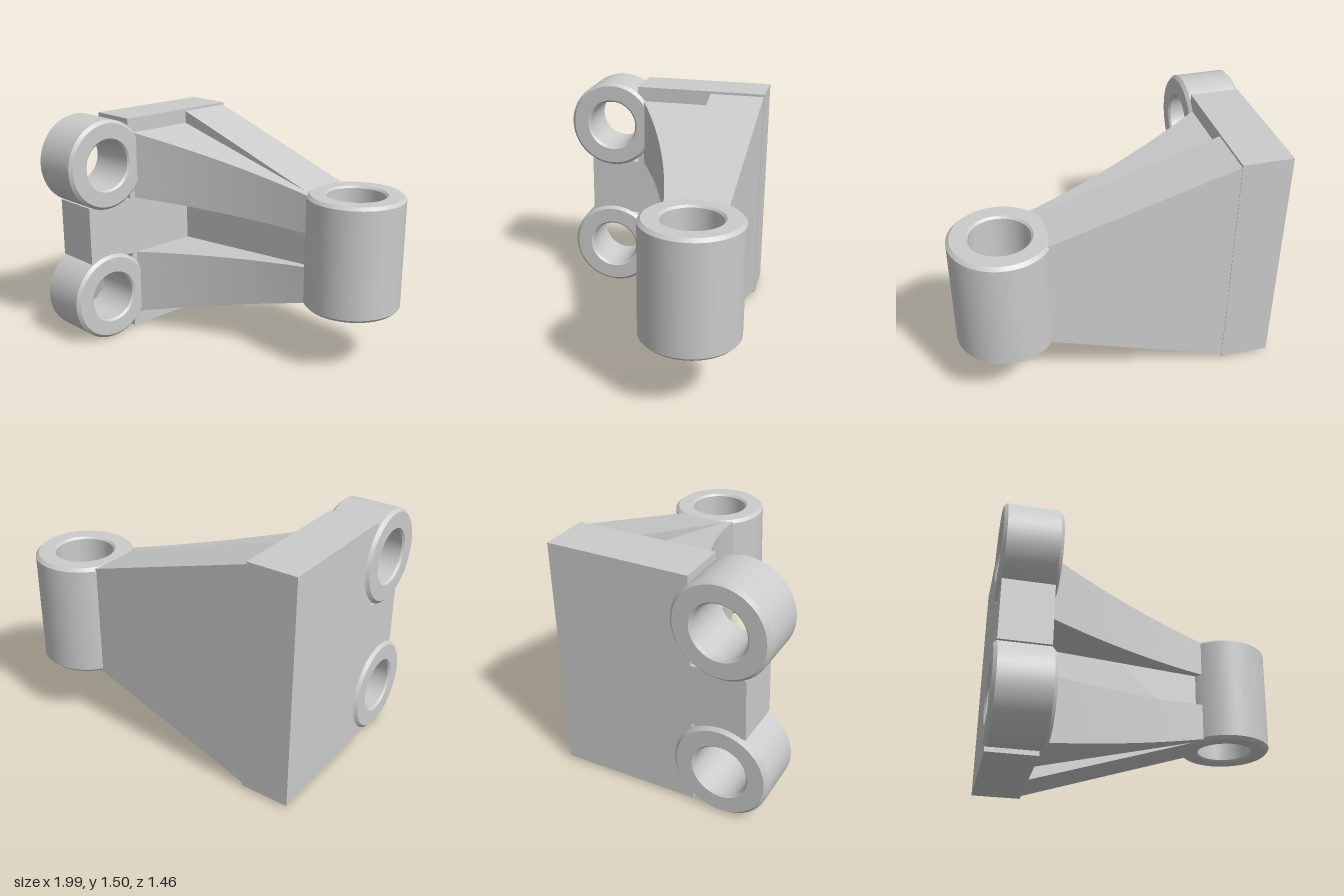
import * as THREE from 'three';
import { toCreasedNormals } from 'three/addons/utils/BufferGeometryUtils.js';

const material = new THREE.MeshStandardMaterial({ color: 0xcccccc });
const MID = 0.752; // height of the mirror plane

function add(parent, name, geometry, x = 0, y = 0, z = 0) {
  const mesh = new THREE.Mesh(geometry, material);
  mesh.name = name;
  mesh.position.set(x, y, z);
  parent.add(mesh);
  return mesh;
}

// Box given by its limits
function block(parent, name, x0, x1, y0, y1, z0, z1) {
  return add(parent, name, new THREE.BoxGeometry(x1 - x0, y1 - y0, z1 - z0),
    (x0 + x1) / 2, (y0 + y1) / 2, (z0 + z1) / 2);
}

// Hollow sleeve along y, chamfered on its outer and inner rims
function sleeve(outer, inner, length) {
  const c = 0.02, d = 0.013, h = length / 2;
  const profile = [
    [outer - c, -h], [outer, -h + c], [outer, h - c], [outer - c, h],
    [inner + d, h], [inner, h - d], [inner, -h + d], [inner + d, -h], [outer - c, -h],
  ].map(([r, y]) => new THREE.Vector2(r, y));
  return toCreasedNormals(new THREE.LatheGeometry(profile, 48), 0.5);
}

// Solid through rectangular sections { x, y0, y1, z0, z1 }, ordered along x
function loft(sections) {
  const rings = sections.map(({ x, y0, y1, z0, z1 }) =>
    [[x, y0, z1], [x, y0, z0], [x, y1, z0], [x, y1, z1]]);
  const pos = [];
  const quad = (a, b, c, d) => pos.push(...a, ...b, ...c, ...a, ...c, ...d);
  for (let s = 0; s < rings.length - 1; s++) {
    for (let i = 0; i < 4; i++) {
      const j = (i + 1) % 4;
      quad(rings[s][i], rings[s][j], rings[s + 1][j], rings[s + 1][i]);
    }
  }
  const first = rings[0], last = rings[rings.length - 1];
  quad(first[3], first[2], first[1], first[0]);
  quad(last[0], last[1], last[2], last[3]);
  const geometry = new THREE.BufferGeometry();
  geometry.setAttribute('position', new THREE.Float32BufferAttribute(pos, 3));
  return toCreasedNormals(geometry, 0.5);
}

export function createModel() {
  const group = new THREE.Group();
  group.name = 'bracket';
  const lerp = THREE.MathUtils.lerp;

  // Mounting plate and the spacer between the two hinge eyes
  block(group, 'mountingPlate', -0.98, -0.67, 0.02, 1.485, -0.615, 0.255);
  block(group, 'eyeSpacer', -0.98, -0.67, 0.56, 0.945, 0.2, 0.59);

  // Upright pivot sleeve
  add(group, 'pivotSleeve', sleeve(0.305, 0.18, 0.73), 0.688, 0.755, -0.425);

  // Tapered back web
  add(group, 'backWeb', loft([
    { x: -0.69, y0: 0.03, y1: 1.475, z0: -0.612, z1: -0.252 },
    { x: 0.455, y0: 0.395, y1: 1.11, z0: -0.592, z1: -0.252 },
  ]));

  for (const side of [1, -1]) {
    const label = side > 0 ? 'upper' : 'lower';

    // Hinge eye
    const eye = add(group, label + 'HingeEye', sleeve(0.295, 0.163, 0.35),
      -0.825, MID + side * 0.455, 0.437);
    eye.rotation.z = Math.PI / 2;

    // Rib with a hollow-curved front, tapering towards the sleeve
    const sections = [];
    for (let i = 0; i <= 16; i++) {
      const t = i / 16;
      const near = MID + side * lerp(0.194, 0.111, t);
      const far = MID + side * lerp(0.638, 0.355, t);
      sections.push({
        x: lerp(-0.68, 0.475, t),
        y0: Math.min(near, far),
        y1: Math.max(near, far),
        z0: -0.3,
        z1: lerp(0.22, -0.212, t) - 0.2 * t * (1 - t),
      });
    }
    add(group, label + 'Rib', loft(sections));
  }
  return group;
}
